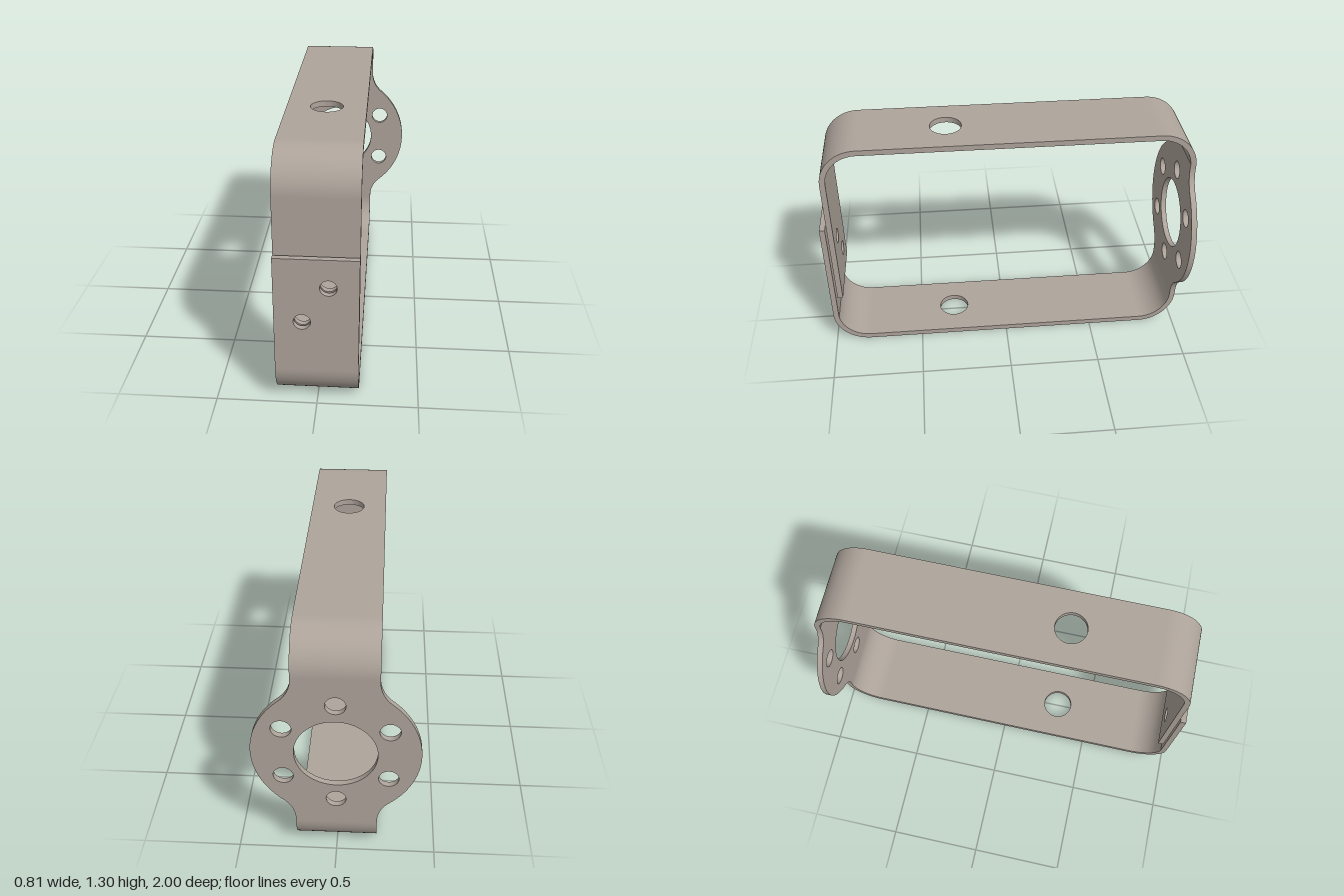
import * as THREE from 'three';
import { toCreasedNormals } from 'three/addons/utils/BufferGeometryUtils.js';

const T = 0.03;        // sheet thickness
const W = 0.203;       // half width of the strap
const H = 1.305;       // overall height
const R = 0.2;         // outer bend radius
const FRONT_IN = 0.96; // outer face of the inner front tab
const MID = 0.655;     // height of the round plate's centre

const material = new THREE.MeshStandardMaterial({ color: 0xaea49b });

function extrude(shape, depth) {
  return new THREE.ExtrudeGeometry(shape, { depth, bevelEnabled: false, curveSegments: 32 });
}

function addHole(shape, x, y, r) {
  const hole = new THREE.Path();
  hole.absarc(x, y, r, 0, Math.PI * 2, true);
  shape.holes.push(hole);
}

// Strap-wide rectangle between two positions, with round holes [x, y, r]
function strip(v0, v1, holes) {
  const s = new THREE.Shape();
  s.moveTo(-W, v0).lineTo(W, v0).lineTo(W, v1).lineTo(-W, v1).closePath();
  holes.forEach(h => addHole(s, ...h));
  return s;
}

// Quarter bend around an x-parallel axis at (z, y), starting at angle a
function bend(z, y, a) {
  const s = new THREE.Shape();
  s.absarc(0, 0, R, a, a + Math.PI / 2, false);
  s.absarc(0, 0, R - T, a + Math.PI / 2, a, true);
  s.closePath();
  return extrude(s, 2 * W).rotateY(-Math.PI / 2).translate(W, y, z);
}

// Round mounting plate blending into the strap with four fillets
function mountShape() {
  const disc = 0.407, fillet = 0.164;
  const cx = W + fillet;
  const dy = Math.sqrt((disc + fillet) ** 2 - cx ** 2);
  const a = Math.atan2(dy, cx);
  const PI = Math.PI;
  const s = new THREE.Shape();
  s.moveTo(-W, R).lineTo(W, R);
  s.absarc(cx, MID - dy, fillet, PI, PI - a, true);
  s.absarc(0, MID, disc, -a, a, false);
  s.absarc(cx, MID + dy, fillet, PI + a, PI, true);
  s.lineTo(W, H - R).lineTo(-W, H - R);
  s.absarc(-cx, MID + dy, fillet, 0, -a, true);
  s.absarc(0, MID, disc, PI - a, PI + a, false);
  s.absarc(-cx, MID - dy, fillet, a, 0, true);
  s.closePath();
  // Centre opening and ring of six bolt holes
  addHole(s, 0, MID, 0.2);
  for (let i = 0; i < 6; i++) {
    const t = PI / 6 + i * PI / 3;
    addHole(s, 0.294 * Math.cos(t), MID + 0.294 * Math.sin(t), 0.049);
  }
  return s;
}

export function createModel() {
  const group = new THREE.Group();
  const add = (name, geometry) => {
    const mesh = new THREE.Mesh(toCreasedNormals(geometry, 0.5), material);
    mesh.name = name;
    group.add(mesh);
  };

  // Long top and bottom straps, each with one cable hole
  const cableHole = [[0, 0.302, 0.083]];
  const flat = (z1, y) =>
    extrude(strip(-1 + R, z1, cableHole), T).rotateX(Math.PI / 2).translate(0, y, 0);
  add('topStrap', flat(FRONT_IN - R, H));
  add('bottomStrap', flat(1 - R, T));

  // Overlapping front tabs sharing two screw holes
  const screws = [[0.058, 0.665, 0.041], [-0.068, 0.476, 0.041]];
  add('outerFrontTab', extrude(strip(R, 0.815, screws), T).translate(0, 0, 1 - T));
  add('innerFrontTab', extrude(strip(0.33, H - R, screws), T).translate(0, 0, FRONT_IN - T));

  // Back mounting plate
  add('mountPlate', extrude(mountShape(), T).translate(0, 0, -1));

  // Rounded corners
  add('topFrontBend', bend(FRONT_IN - R, H - R, 0));
  add('topBackBend', bend(-1 + R, H - R, Math.PI / 2));
  add('bottomBackBend', bend(-1 + R, R, Math.PI));
  add('bottomFrontBend', bend(1 - R, R, Math.PI * 1.5));

  return group;
}
